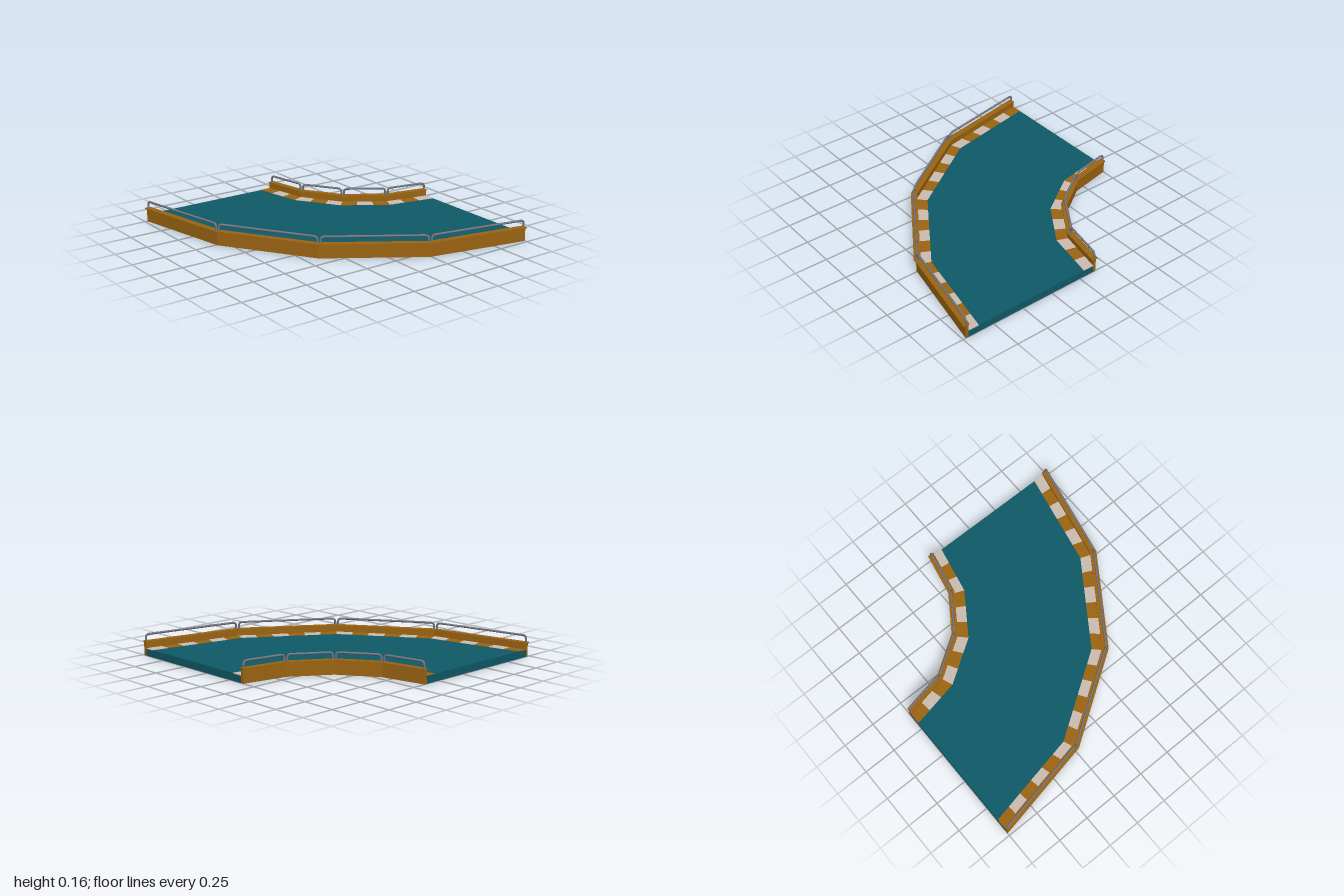
import * as THREE from 'three';

const SEGMENTS = 4;
const material = (color) => new THREE.MeshStandardMaterial({ color, flatShading: true });

// Plan point (x, z) on a faceted quarter ring around the corner (-1, -1); t runs 0..SEGMENTS
function ringPoint(r, t) {
  const i = Math.min(Math.floor(t), SEGMENTS - 1);
  const corner = (k) => {
    const a = (k / SEGMENTS) * Math.PI / 2;
    return new THREE.Vector2(-1 + r * Math.sin(a), -1 + r * Math.cos(a));
  };
  return corner(i).lerp(corner(i + 1), t - i);
}

// Solid band between two radii and two heights, with facet corners at the given t values
function band(name, mat, r0, r1, y0, y1, ts = [0, 1, 2, 3, 4]) {
  const outline = [
    ...ts.map((t) => ringPoint(r1, t)),
    ...[...ts].reverse().map((t) => ringPoint(r0, t)),
  ].map((p) => new THREE.Vector2(p.x, -p.y));
  const geo = new THREE.ExtrudeGeometry(new THREE.Shape(outline), { depth: y1 - y0, bevelEnabled: false });
  geo.rotateX(-Math.PI / 2).translate(0, y0, 0);
  const mesh = new THREE.Mesh(geo, mat);
  mesh.name = name;
  return mesh;
}

// Bent pipe rail over one straight segment: post, rounded corner, bar, rounded corner, post
function rail(name, mat, r, i) {
  const a = ringPoint(r, i), b = ringPoint(r, i + 1);
  const length = a.distanceTo(b);
  const at = (d, y) => {
    const p = a.clone().lerp(b, d / length);
    return new THREE.Vector3(p.x, y, p.y);
  };
  const inset = 0.011, foot = 0.1, top = 0.157, bend = 0.027;
  const s = inset, e = length - inset;
  const path = new THREE.CurvePath();
  path.add(new THREE.LineCurve3(at(s, foot), at(s, top - bend)));
  path.add(new THREE.QuadraticBezierCurve3(at(s, top - bend), at(s, top), at(s + bend, top)));
  path.add(new THREE.LineCurve3(at(s + bend, top), at(e - bend, top)));
  path.add(new THREE.QuadraticBezierCurve3(at(e - bend, top), at(e, top), at(e, top - bend)));
  path.add(new THREE.LineCurve3(at(e, top - bend), at(e, foot)));
  const mesh = new THREE.Mesh(new THREE.TubeGeometry(path, 90, 0.008, 8, false), mat);
  mesh.name = name;
  return mesh;
}

export function createModel() {
  const group = new THREE.Group();
  group.name = 'curvedTrack';
  const teal = material(0x0f5a68);
  const orange = material(0x9c6512);
  const white = material(0xcdbeb2);
  const steel = new THREE.MeshStandardMaterial({ color: 0x777780 });
  const roadTop = 0.055;

  group.add(band('roadSlab', teal, 0.87, 1.965, 0, roadTop));

  // Both edges: wall, overhanging cap, kerb stripes and guard rails
  const sides = [
    { side: 'inner', wall: [0.858, 0.882], cap: [0.845, 0.892], kerb: [0.88, 0.967], rail: 0.868, perSegment: 3 },
    { side: 'outer', wall: [1.955, 1.98], cap: [1.948, 1.996], kerb: [1.873, 1.957], rail: 1.973, perSegment: 6 },
  ];
  for (const s of sides) {
    group.add(band(s.side + 'Wall', orange, ...s.wall, 0, 0.1));
    group.add(band(s.side + 'WallCap', orange, ...s.cap, 0.1, 0.108));

    for (let k = 0; k < s.perSegment * SEGMENTS; k++) {
      const ts = [k / s.perSegment, (k + 1) / s.perSegment];
      group.add(band(s.side + 'KerbStripe', k % 2 ? white : orange, ...s.kerb, roadTop - 0.004, roadTop + 0.002, ts));
    }
    for (let i = 0; i < SEGMENTS; i++) group.add(rail(s.side + 'GuardRail', steel, s.rail, i));
  }
  return group;
}
